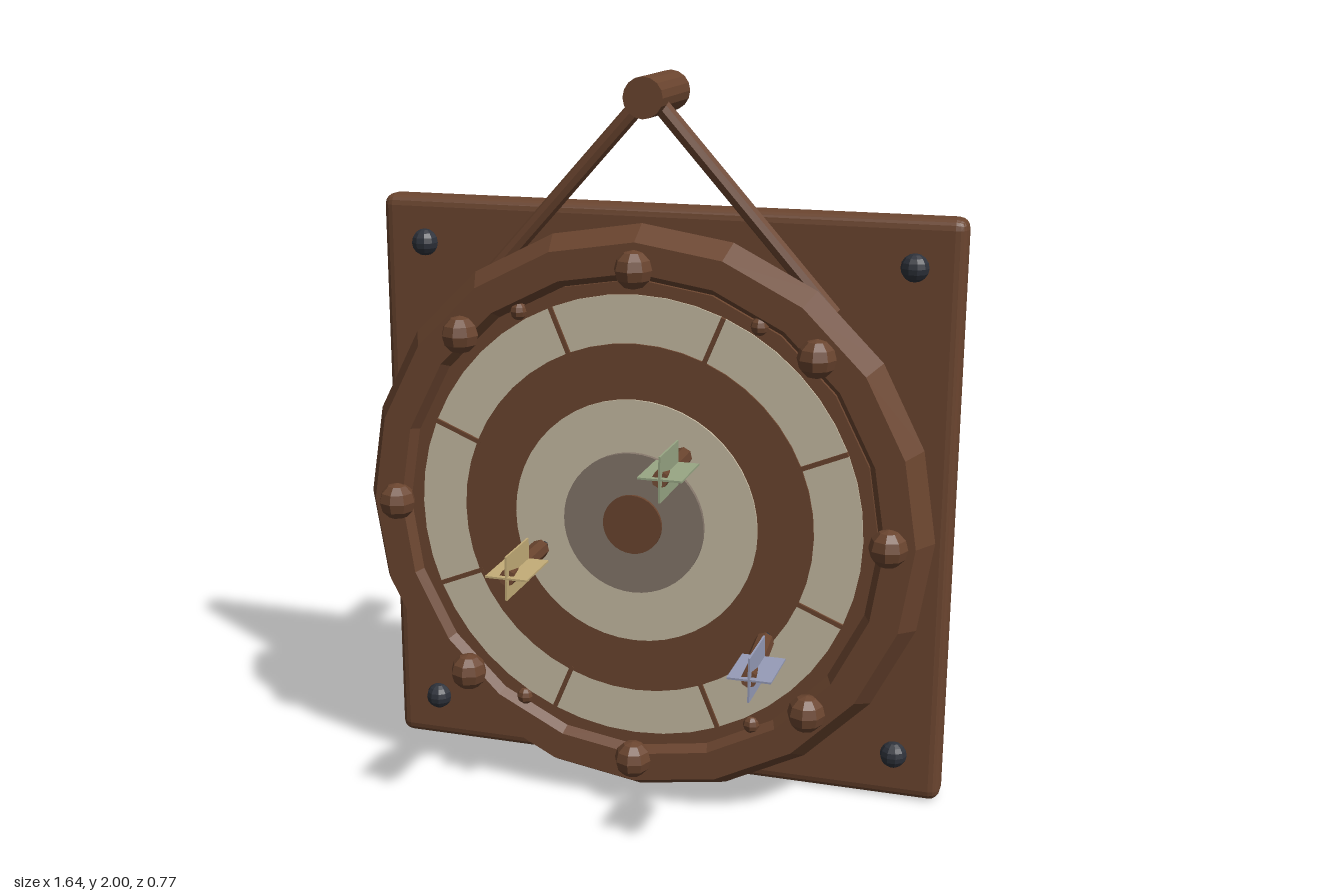
import * as THREE from 'three';
import { RoundedBoxGeometry } from 'three/addons/geometries/RoundedBoxGeometry.js';

const CY = 0.826; // height of the board centre

function paint(name, color, extra = {}) {
  const m = new THREE.MeshStandardMaterial({ color, flatShading: true, ...extra });
  m.name = name;
  return m;
}

export function createModel() {
  const root = new THREE.Group();
  root.name = 'dartboard';
  const wood = paint('brown wood', 0x6b452f);
  const cream = paint('cream', 0xc8bca4);
  const grey = paint('warm grey', 0x84766a);
  const iron = paint('dark iron', 0x2e323b);
  const two = { side: THREE.DoubleSide };
  const flights = [
    ['yellow', paint('yellow flight', 0xc4ad78, two), -0.2, 0.795],
    ['green', paint('green flight', 0x98a684, two), 0.2, 1.09],
    ['blue', paint('blue flight', 0x969cb8, two), 0.43, 0.6],
  ];

  function add(name, geometry, material, x = 0, y = 0, z = 0, parent = root) {
    const mesh = new THREE.Mesh(geometry, material);
    mesh.name = name;
    mesh.position.set(x, y, z);
    parent.add(mesh);
    return mesh;
  }

  // disc facing +z between two depths
  function disc(name, radius, back, front, material, sides) {
    const g = new THREE.CylinderGeometry(radius, radius, front - back, sides).rotateX(Math.PI / 2);
    return add(name, g, material, 0, CY, (back + front) / 2);
  }

  // round bar between two points
  function bar(name, a, b, ra, rb, material, parent = root, sides = 8) {
    const from = new THREE.Vector3(...a), to = new THREE.Vector3(...b);
    const dir = to.clone().sub(from);
    const mesh = add(name, new THREE.CylinderGeometry(rb, ra, dir.length(), sides), material, 0, 0, 0, parent);
    mesh.position.copy(from).add(to).multiplyScalar(0.5);
    mesh.quaternion.setFromUnitVectors(new THREE.Vector3(0, 1, 0), dir.normalize());
    return mesh;
  }

  // square backing and round body
  add('backboard', new RoundedBoxGeometry(1.64, 1.645, 0.09, 2, 0.03), wood, 0, 0.823, -0.341);
  disc('body', 0.72, -0.31, -0.15, wood, 20);
  disc('facePlate', 0.66, -0.16, -0.075, wood, 20);
  add('rim', new THREE.TorusGeometry(0.72, 0.08, 6, 20), wood, 0, CY, -0.122);

  // target bands, stepped slightly forward toward the centre
  disc('outerBand', 0.62, -0.08, -0.07, cream, 48);
  disc('middleBand', 0.49, -0.075, -0.064, wood, 48);
  disc('innerBand', 0.34, -0.07, -0.058, cream, 48);
  disc('bullRing', 0.196, -0.065, -0.045, grey, 48);
  disc('bullseye', 0.082, -0.05, -0.036, wood, 32);

  // dividers across the outer band, and studs around the rim
  for (let i = 0; i < 8; i++) {
    const a = i * Math.PI / 4, b = a + Math.PI / 8;
    const divider = add('divider', new THREE.BoxGeometry(0.14, 0.012, 0.012), wood,
      0.55 * Math.cos(b), CY + 0.55 * Math.sin(b), -0.069);
    divider.rotation.z = b;
    add('rimStud', new THREE.SphereGeometry(0.052, 8, 6), wood,
      0.69 * Math.cos(a), CY + 0.69 * Math.sin(a), -0.045);
  }

  for (const s of [-1, 1]) {
    // corner bolts
    for (const t of [-1, 1]) {
      add('cornerBolt', new THREE.SphereGeometry(0.038, 10, 8), iron, s * 0.69, CY + t * 0.69, -0.292);
      add('faceNail', new THREE.SphereGeometry(0.025, 8, 6), wood, s * 0.33, CY + t * 0.555, -0.08);
    }
    // hanging strut
    bar('hangerStrut', [s * 0.5, 1.4, -0.188], [s * 0.01, 1.945, -0.188], 0.023, 0.023, wood);
  }
  // wall peg
  const peg = new THREE.CylinderGeometry(0.054, 0.054, 0.26, 16).rotateX(Math.PI / 2);
  add('hangerPeg', peg, wood, 0, 1.946, -0.255);

  // darts, leaning slightly down and to the right side of the board
  for (const [label, material, x, y] of flights) {
    const dart = new THREE.Group();
    dart.name = label + 'Dart';
    root.add(dart);
    const at = (z) => {
      const k = (0.37 - z) * 0.13;
      return [x - 0.003 - k, y - 0.003 - k, z];
    };
    bar('dartPoint', at(-0.1), at(0.01), 0.009, 0.013, iron, dart);
    bar('dartBarrel', at(0), at(0.22), 0.026, 0.026, wood, dart);
    bar('dartShaft', at(0.2), at(0.37), 0.021, 0.021, wood, dart);
    add('flatFlight', new THREE.BoxGeometry(0.112, 0.005, 0.16), material, x, y, 0.305, dart);
    add('uprightFlight', new THREE.BoxGeometry(0.005, 0.116, 0.16), material, x, y, 0.305, dart);
  }
  return root;
}
